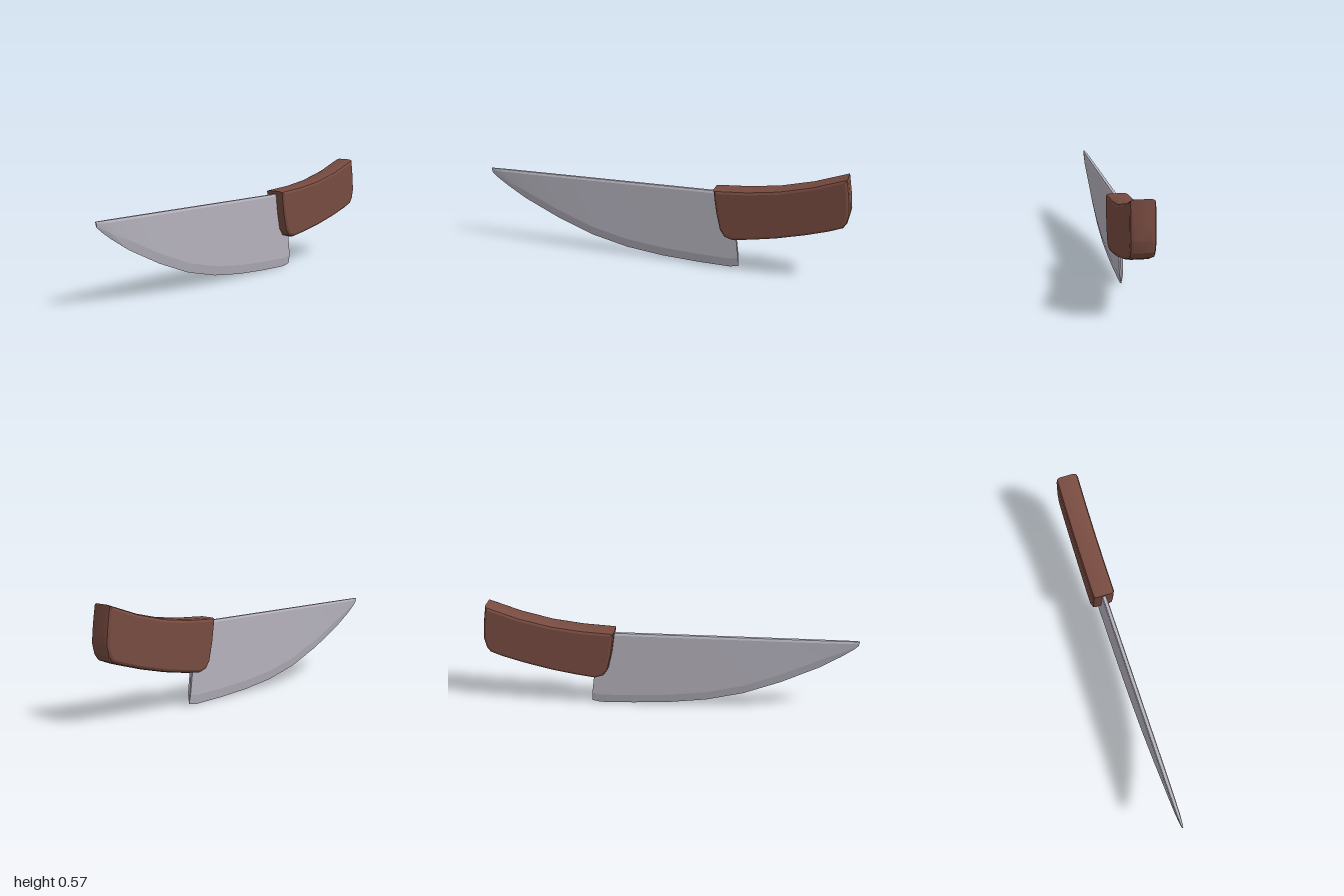
import * as THREE from 'three';
import { toCreasedNormals } from 'three/addons/utils/BufferGeometryUtils.js';

const steel = new THREE.MeshStandardMaterial({ color: 0xb6b3be });
steel.name = 'steel';
const wood = new THREE.MeshStandardMaterial({ color: 0x774b40 });
wood.name = 'wood';

// Blade: wedge cross-sections lofted from the tip to the heel
function bladeGeometry() {
  // x at spine, x at cutting edge, y of cutting edge, thickness scale
  const stations = [
    [-1, -0.995, 0.397, 0.25], [-0.985, -0.965, 0.371, 0.5], [-0.93, -0.91, 0.332, 0.8],
    [-0.8, -0.8, 0.264, 0.95], [-0.6, -0.6, 0.167, 1], [-0.4, -0.4, 0.09, 1],
    [-0.2, -0.2, 0.042, 1], [0, 0, 0.017, 1], [0.2, 0.2, 0.005, 1],
    [0.34, 0.38, 0, 1], [0.378, 0.427, 0.01, 1],
  ];
  const rings = stations.map(([xTop, xEdge, edge, s]) => {
    const top = 0.424, h = top - edge;
    const at = (y, z) => [xEdge + (xTop - xEdge) * ((y - edge) / h) ** 1.5, y, z * s];
    const shoulder = top - Math.min(0.012, h * 0.3);
    const bevel = edge + Math.min(0.05, h * 0.3);
    return [
      at(top, 0.008), at(shoulder, 0.013), at(bevel, 0.0095), at(edge, 0),
      at(bevel, -0.0095), at(shoulder, -0.013), at(top, -0.008),
    ];
  });
  const out = [];
  const tri = (a, b, c) => out.push(...a, ...b, ...c);
  const n = 7;
  for (let i = 0; i < rings.length - 1; i++) {
    for (let k = 0; k < n; k++) {
      const a = rings[i][k], b = rings[i][(k + 1) % n];
      const c = rings[i + 1][(k + 1) % n], d = rings[i + 1][k];
      tri(a, b, c);
      tri(a, c, d);
    }
  }
  // close the tip and the heel
  const tip = rings[0], heel = rings[rings.length - 1];
  for (let k = 1; k < n - 1; k++) {
    tri(tip[0], tip[k + 1], tip[k]);
    tri(heel[0], heel[k], heel[k + 1]);
  }
  const g = new THREE.BufferGeometry();
  g.setAttribute('position', new THREE.Float32BufferAttribute(out, 3));
  return toCreasedNormals(g, 0.12);
}

// Handle: curved outline extruded with a rounded rim
function handleGeometry() {
  const outline = [
    [0.4, 0.173], [0.5, 0.187], [0.63, 0.21], [0.78, 0.246], [0.9, 0.281], [0.965, 0.306],
    [0.985, 0.335], [0.997, 0.39], [0.988, 0.48], [0.973, 0.573],
    [0.8, 0.514], [0.63, 0.474], [0.47, 0.453], [0.29, 0.442],
    [0.307, 0.32], [0.329, 0.225], [0.355, 0.187],
  ];
  const shape = new THREE.Shape(outline.map(([x, y]) => new THREE.Vector2(x, y)));
  const g = new THREE.ExtrudeGeometry(shape, {
    depth: 0.078, bevelEnabled: true, bevelThickness: 0.021,
    bevelSize: 0.017, bevelOffset: -0.017, bevelSegments: 2,
  });
  g.translate(0, 0, -0.039);
  return toCreasedNormals(g, 0.35);
}

export function createModel() {
  const model = new THREE.Group();
  model.name = 'kitchenKnife';
  const blade = new THREE.Mesh(bladeGeometry(), steel);
  blade.name = 'blade';
  const handle = new THREE.Mesh(handleGeometry(), wood);
  handle.name = 'handle';
  model.add(blade, handle);
  return model;
}
